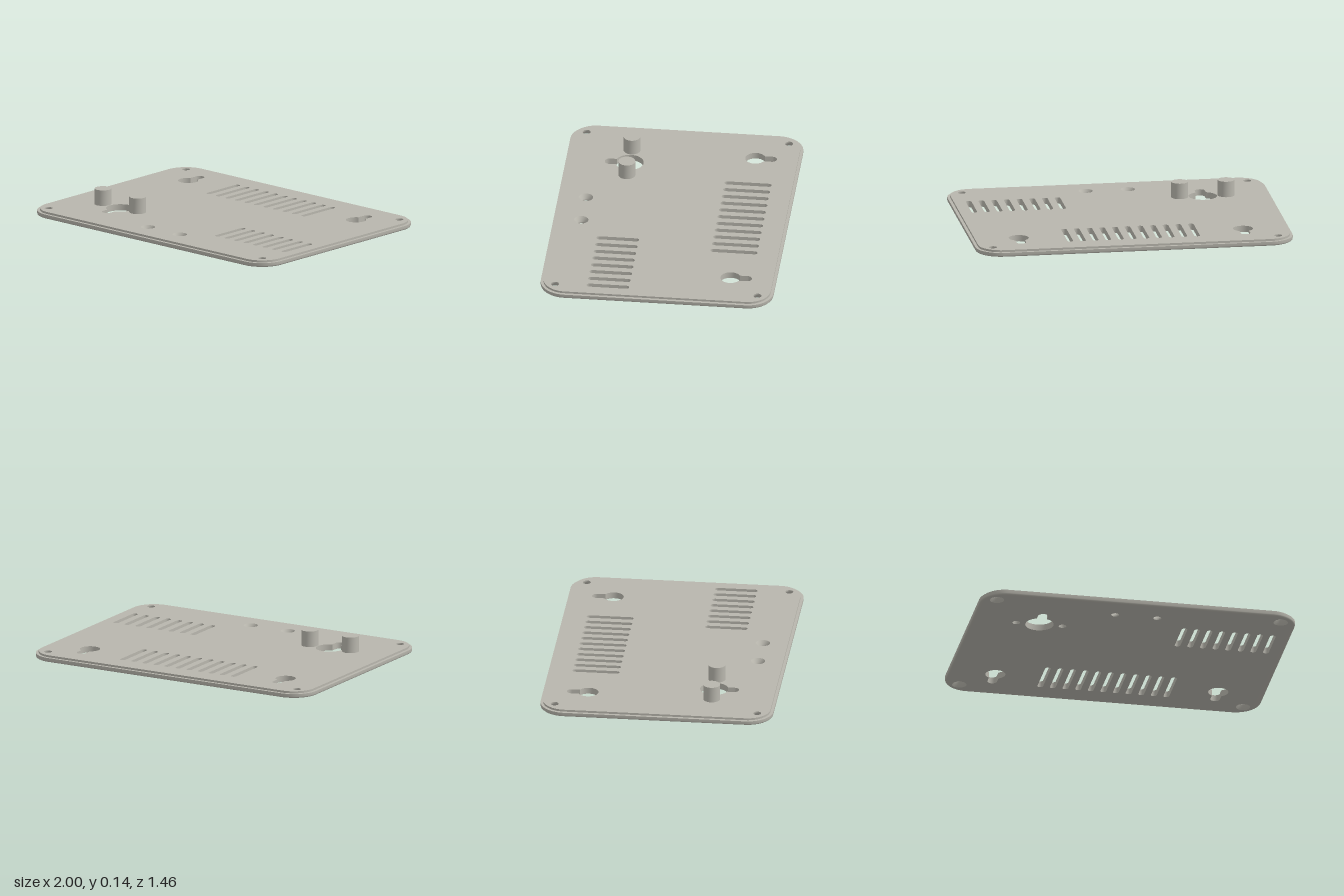
import * as THREE from 'three';
import { toCreasedNormals } from 'three/addons/utils/BufferGeometryUtils.js';

const TOP = 0.04;      // upper face of the plate
const LEDGE = 0.027;   // height of the stepped rim
const PI = Math.PI;

// Loops are lists of [x, z], running from +x towards +z
function arc(cx, cz, r, from, to, n) {
  return Array.from({ length: n + 1 }, (_, i) => {
    const t = from + (to - from) * i / n;
    return [cx + r * Math.cos(t), cz + r * Math.sin(t)];
  });
}

const circle = (cx, cz, r) => arc(cx, cz, r, 0, 2 * PI, 32).slice(0, -1);

function outline(inset) {
  const r = 0.16, x = 1 - r, z = 0.73 - r;
  return [[x, z], [-x, z], [-x, -z], [x, -z]].flatMap(([cx, cz], i) =>
    arc(cx, cz, r - inset, i * PI / 2, (i + 1) * PI / 2, 12));
}

function slot(x, z0, z1) {
  const r = 0.018;
  return [...arc(x, z1 - r, r, 0, PI, 10), ...arc(x, z0 + r, r, PI, 2 * PI, 10)];
}

// Round opening with a narrow neck ending at zEnd
function keyhole(cx, cz, r, w, zEnd) {
  const dir = Math.sign(zEnd - cz), a = dir * PI / 2, h = Math.asin(w / r);
  return [...arc(cx, cz, r, a + h, a + 2 * PI - h, 32),
    ...arc(cx, zEnd - dir * w, w, a - PI / 2, a + PI / 2, 12)];
}

// Strip between two loops: faces outward going up, inward going down
function wall(out, a, ya, b, yb) {
  a.forEach((p, i) => {
    const j = (i + 1) % a.length;
    const a0 = [p[0], ya, p[1]], a1 = [a[j][0], ya, a[j][1]];
    const b0 = [b[i][0], yb, b[i][1]], b1 = [b[j][0], yb, b[j][1]];
    out.push(...a0, ...b0, ...a1, ...b0, ...b1, ...a1);
  });
}

// Walls through a series of [loop, height] steps
function walls(out, steps) {
  for (let i = 1; i < steps.length; i++) wall(out, ...steps[i - 1], ...steps[i]);
}

// Flat face with holes, looking up or down
function cap(out, loop, holes, y, up) {
  const vec = l => l.map(([x, z]) => new THREE.Vector2(x, z));
  const shape = new THREE.Shape(vec(loop));
  shape.holes = holes.map(h => new THREE.Path(vec(h)));
  const g = new THREE.ShapeGeometry(shape), pos = g.attributes.position, idx = g.index.array;
  for (let i = 0; i < idx.length; i += 3) {
    const tri = [idx[i], idx[i + 1], idx[i + 2]];
    if (up) tri.reverse();
    tri.forEach(k => out.push(pos.getX(k), y, pos.getY(k)));
  }
}

function toMesh(out, material, name) {
  let g = new THREE.BufferGeometry();
  g.setAttribute('position', new THREE.Float32BufferAttribute(out, 3));
  // Enlarged while creasing so that close points stay distinct
  g.scale(100, 100, 100);
  g = toCreasedNormals(g, 0.6);
  g.scale(0.01, 0.01, 0.01);
  const mesh = new THREE.Mesh(g, material);
  mesh.name = name;
  return mesh;
}

export function createModel() {
  const group = new THREE.Group();
  group.name = 'mountingPlate';
  const grey = new THREE.MeshStandardMaterial({ color: 0xb8b6ad });
  grey.name = 'warm grey';

  // Each opening is a list of [loop, height] steps from top to bottom
  const openings = [];
  const straight = loop => openings.push([[loop, TOP], [loop, 0]]);

  // Ventilation slots
  for (let i = 0; i < 11; i++) straight(slot(-0.4 + i * 0.08, -0.58, -0.285));
  for (let i = 0; i < 8; i++) straight(slot(0.33 + i * 0.08, 0.17, 0.437));

  // Hanging keyholes
  for (const s of [-1, 1]) straight(keyhole(s * 0.707, -0.445, 0.063, 0.03, -0.58));
  straight(keyhole(-0.573, 0.33, 0.089, 0.032, 0.485));

  // Corner screw holes, countersunk from below
  for (const x of [-0.9, 0.9]) for (const z of [-0.635, 0.635]) {
    const narrow = circle(x, z, 0.025);
    openings.push([[narrow, TOP], [narrow, 0.03], [circle(x, z, 0.045), 0]]);
  }

  // Front screw holes, countersunk from above
  for (const x of [-0.135, 0.132]) {
    const narrow = circle(x, 0.555, 0.025);
    openings.push([[circle(x, 0.555, 0.045), TOP], [narrow, 0.01], [narrow, 0]]);
  }

  // Posts with blind holes underneath
  const posts = [-0.72, -0.427].map(x => ({
    outer: circle(x, 0.33, 0.053), inner: circle(x, 0.33, 0.024),
  }));

  // Plate with rounded lower edge and stepped rim
  const plate = [];
  const rim = [[0.01, 0], [0.005, 0.0014], [0.0014, 0.005], [0, 0.01], [0, LEDGE],
    [0.018, LEDGE], [0.018, TOP]].map(([inset, y]) => [outline(inset), y]);
  walls(plate, rim);
  openings.forEach(steps => walls(plate, steps));
  cap(plate, rim.at(-1)[0], [...openings.map(s => s[0][0]), ...posts.map(p => p.outer)], TOP, true);
  cap(plate, rim[0][0], [...openings.map(s => s.at(-1)[0]), ...posts.map(p => p.inner)], 0, false);
  group.add(toMesh(plate, grey, 'basePlate'));

  posts.forEach(({ outer, inner }, i) => {
    const post = [];
    walls(post, [[outer, TOP], [outer, 0.14]]);
    cap(post, outer, [], 0.14, true);
    walls(post, [[inner, 0.1], [inner, 0]]);
    cap(post, inner, [], 0.1, false);
    group.add(toMesh(post, grey, i ? 'leftPost' : 'rightPost'));
  });
  return group;
}
